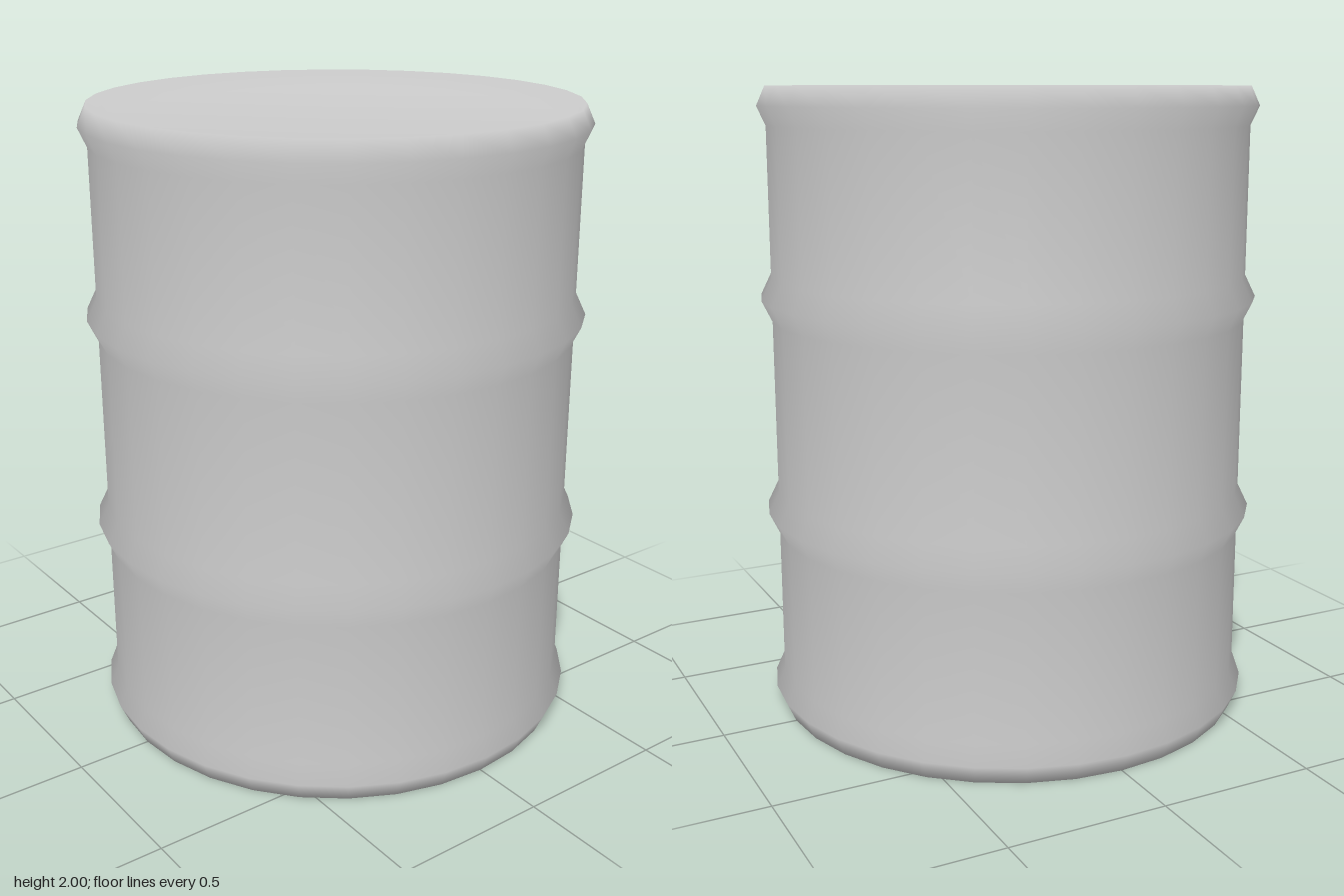
import * as THREE from 'three';

const BODY = 0.762; // wall radius
const SIDES = 32;

// Raised hoop around the wall: foot, peak, foot
const hoop = (y, peak, half) => [[BODY, y - half], [peak, y], [BODY, y + half]];

export function createModel() {
  const group = new THREE.Group();
  group.name = 'barrel';

  // Profile from the centre of the base, up the wall, to the centre of the lid
  const profile = [
    [0, 0.06], [0.732, 0.06],          // recessed base
    ...hoop(0.06, 0.789, 0.06),        // bottom rim
    ...hoop(0.655, 0.795, 0.068),      // lower hoop
    ...hoop(1.345, 0.795, 0.068),      // upper hoop
    ...hoop(1.94, 0.789, 0.06),        // top rim
    [0.732, 1.94], [0, 1.94],          // recessed lid
  ].map(([r, y]) => new THREE.Vector2(r, y));

  const drum = new THREE.Mesh(
    new THREE.LatheGeometry(profile, SIDES),
    new THREE.MeshStandardMaterial({ color: 0xcccccc })
  );
  drum.name = 'drumShell';
  group.add(drum);
  return group;
}
